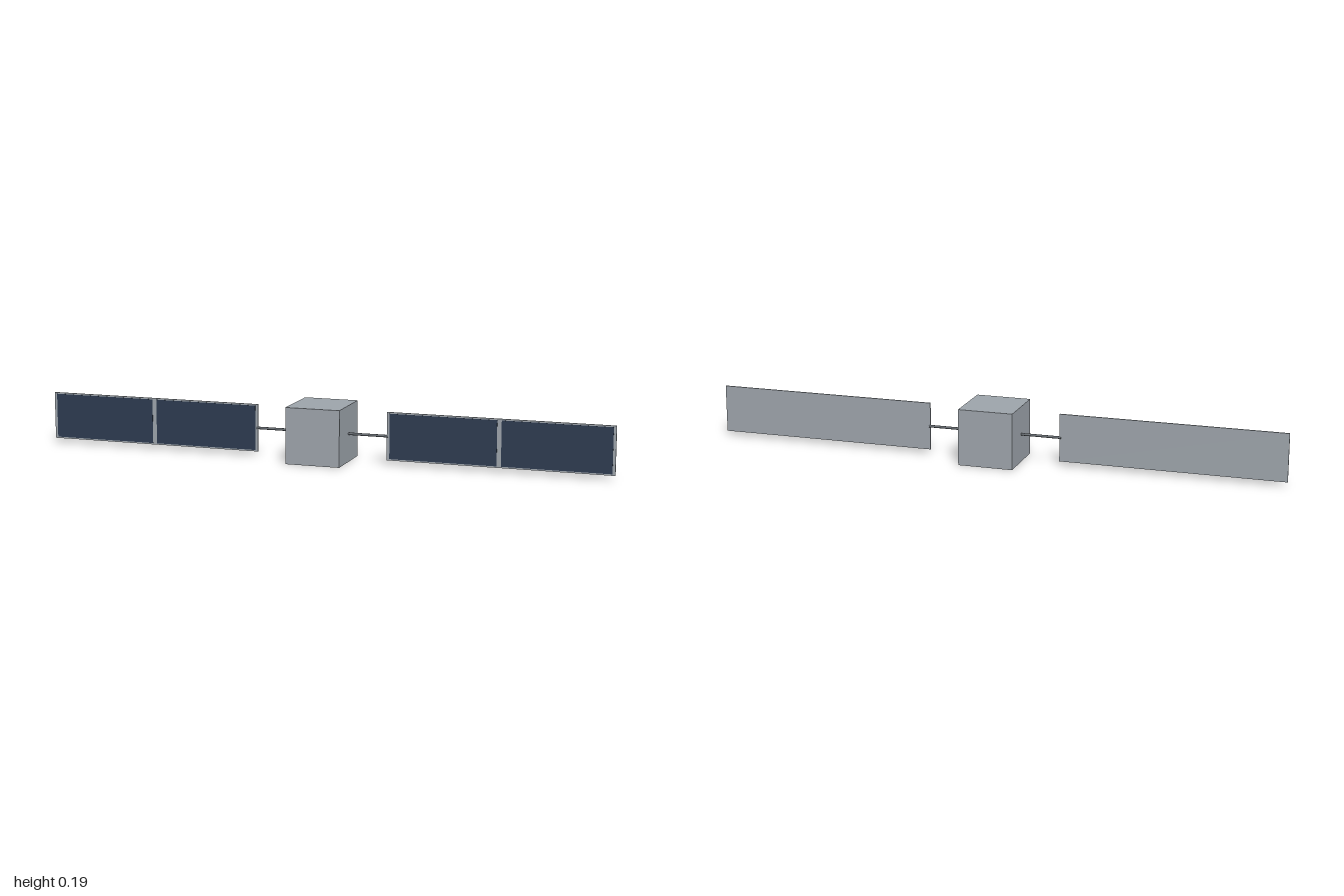
import * as THREE from 'three';

const mat = (name, color) => {
  const m = new THREE.MeshStandardMaterial({ color });
  m.name = name;
  return m;
};

export function createModel() {
  const grey = mat('satellite grey', 0x9ca3aa);
  const navy = mat('solar navy', 0x2c3a4f);
  const dark = mat('boom dark grey', 0x5a6066);
  const model = new THREE.Group();
  model.name = 'satellite';
  const midY = 0.097;

  const add = (parent, name, geometry, material, x, y, z) => {
    const mesh = new THREE.Mesh(geometry, material);
    mesh.name = name;
    mesh.position.set(x, y, z);
    parent.add(mesh);
    return mesh;
  };

  // Central body
  add(model, 'body', new THREE.BoxGeometry(0.19, 0.194, 0.206), grey, 0, midY, 0);

  // One wing per side: boom, backing panel and two solar cell plates on the front
  for (const side of [1, -1]) {
    const wing = new THREE.Group();
    wing.name = side > 0 ? 'leftWing' : 'rightWing';
    model.add(wing);

    const boom = add(wing, 'boom', new THREE.CylinderGeometry(0.0045, 0.0045, 0.155, 12), dark,
      side * 0.1575, midY, 0);
    boom.rotation.z = Math.PI / 2;

    add(wing, 'panel', new THREE.BoxGeometry(0.77, 0.165, 0.005), grey, side * 0.615, midY, 0);

    for (const offset of [-0.1915, 0.1915]) {
      add(wing, 'solarCells', new THREE.BoxGeometry(0.368, 0.155, 0.002), navy,
        side * 0.615 + offset, midY, 0.0025);
    }
  }
  return model;
}
